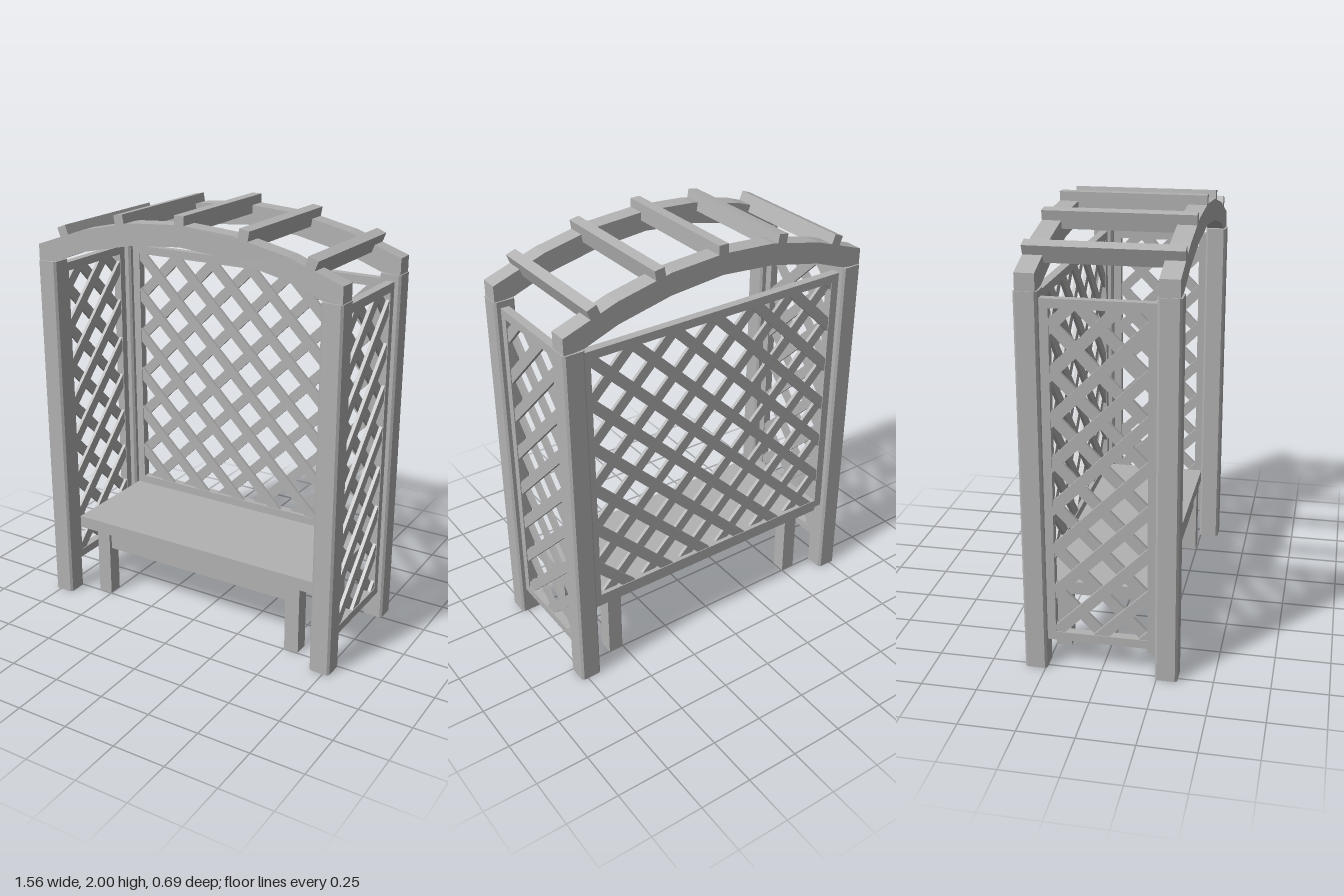
import * as THREE from 'three';

const paint = new THREE.MeshStandardMaterial({ color: 0xb2b2b2 });
paint.name = 'grey timber';

function mesh(name, geometry, parent) {
  const m = new THREE.Mesh(geometry, paint);
  m.name = name;
  parent.add(m);
  return m;
}

// Box given by its limits on each axis
function box(name, parent, x0, x1, y0, y1, z0, z1) {
  const m = mesh(name, new THREE.BoxGeometry(x1 - x0, y1 - y0, z1 - z0), parent);
  m.position.set((x0 + x1) / 2, (y0 + y1) / 2, (z0 + z1) / 2);
  return m;
}

function prism(points, depth) {
  const shape = new THREE.Shape(points.map(([x, y]) => new THREE.Vector2(x, y)));
  return new THREE.ExtrudeGeometry(shape, { depth, bevelEnabled: false });
}

// Keep the part of a polygon where sign * p[axis] <= limit
function clip(poly, axis, sign, limit) {
  const out = [];
  poly.forEach((a, i) => {
    const b = poly[(i + 1) % poly.length];
    const da = limit - sign * a[axis], db = limit - sign * b[axis];
    if (da >= 0) out.push(a);
    if (da * db < 0) {
      const t = da / (da - db);
      out.push([a[0] + (b[0] - a[0]) * t, a[1] + (b[1] - a[1]) * t]);
    }
  });
  return out;
}

// Framed trellis in the xy plane: two layers of diagonal slats, crossing at (cx, cy)
function trellis(name, halfWidth, y0, y1, rail, pitch, cx, cy, frontDir) {
  const g = new THREE.Group();
  g.name = name;
  const d = 0.02, w = halfWidth - rail, b = y0 + rail, t = y1 - rail;
  box('topRail', g, -halfWidth, halfWidth, t, y1, -d, d);
  box('bottomRail', g, -halfWidth, halfWidth, y0, b, -d, d);
  for (const s of [-1, 1]) {
    const c = s * (halfWidth - rail / 2);
    box('sideRail', g, c - rail / 2, c + rail / 2, b, t, -d, d);
  }
  const half = 0.025 * Math.SQRT2; // half slat width measured along x
  for (const layer of [0, 1]) {
    const dir = layer ? frontDir : -frontDir; // 1 rises to +x, -1 falls
    for (let k = -20; k <= 20; k++) {
      const x = cx + k * pitch;
      const at = (yy, e) => [x + dir * (yy - cy) + e, yy];
      let poly = [at(b, -half), at(b, half), at(t, half), at(t, -half)];
      poly = clip(clip(poly, 0, 1, w), 0, -1, w);
      if (poly.length < 3) continue;
      const slat = mesh('slat', prism(poly, 0.016), g);
      slat.position.z = layer ? 0 : -0.016;
    }
  }
  return g;
}

export function createModel() {
  const model = new THREE.Group();
  model.name = 'gardenArbour';

  // Corner posts with chamfered edges
  const h = 0.05, c = 0.01;
  const section = [[h, -h + c], [h, h - c], [h - c, h], [-h + c, h],
    [-h, h - c], [-h, -h + c], [-h + c, -h], [h - c, -h]];
  for (const sx of [-1, 1]) for (const sz of [-1, 1]) {
    const post = mesh('post', prism(section, 1.72), model);
    post.rotation.x = -Math.PI / 2;
    post.position.set(sx * 0.73, 0, sz * 0.293);
  }

  // Faceted arches, front and back
  const top = [[0.775, 1.795], [0.52, 1.885], [0.26, 1.942], [0, 1.96]];
  const under = [[0, 1.865], [0.26, 1.842], [0.52, 1.785], [0.68, 1.725], [0.775, 1.715]];
  const flip = ([x, y]) => [-x, y];
  const outline = [...under, ...top, ...top.slice(0, 3).reverse().map(flip),
    ...under.slice(1).reverse().map(flip)];
  for (const z of [-0.335, 0.25]) mesh('arch', prism(outline, 0.085), model).position.z = z;

  // Roof battens following the arch
  for (const [x, y, tilt] of [[0, 1.96, 0], [0.313, 1.933, 0.17], [0.625, 1.853, 0.37]]) {
    for (const s of x ? [-1, 1] : [1]) {
      const batten = mesh('roofBatten', new THREE.BoxGeometry(0.048, 0.08, 0.67), model);
      batten.position.set(s * x, y, 0);
      batten.rotation.z = -s * tilt;
    }
  }

  // Trellis panels
  const back = trellis('backTrellis', 0.68, 0.39, 1.69, 0.04, 1.28 / 6, 0.64, 1.65, -1);
  back.position.z = -0.29;
  model.add(back);
  for (const s of [-1, 1]) {
    const side = trellis('sideTrellis', 0.245, 0.135, 1.69, 0.04, 0.2, 0, 0.175, 1);
    side.rotation.y = s * Math.PI / 2;
    side.position.x = s * 0.732;
    model.add(side);
  }

  // Bench
  box('seat', model, -0.68, 0.68, 0.33, 0.39, -0.27, 0.245);
  box('frontApron', model, -0.5, 0.5, 0.25, 0.33, 0.19, 0.23);
  for (const s of [-1, 1]) {
    box('sideApron', model, s * 0.535 - 0.02, s * 0.535 + 0.02, 0.265, 0.33, -0.18, 0.175);
    for (const z of [-0.215, 0.21]) {
      box('benchLeg', model, s * 0.537 - 0.036, s * 0.537 + 0.036, 0, 0.33, z - 0.035, z + 0.035);
    }
  }
  return model;
}
